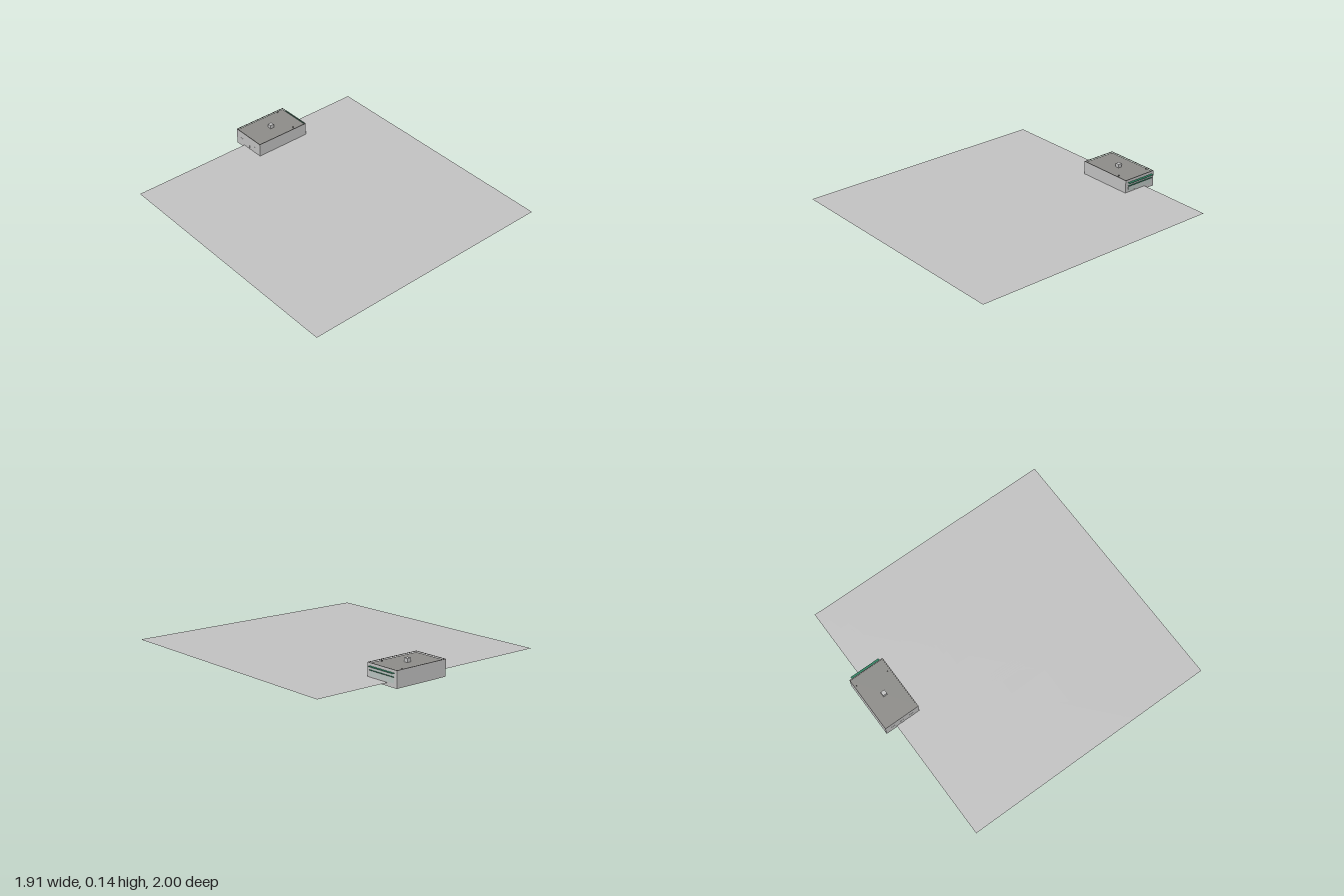
import * as THREE from 'three';

export function createModel() {
  const group = new THREE.Group();
  const material = (name, color, side = THREE.FrontSide) => {
    const m = new THREE.MeshStandardMaterial({ color, side });
    m.name = name;
    return m;
  };
  const paving = material('paving grey', 0xc2c2c2, THREE.DoubleSide);
  const wall = material('wall grey', 0xc2c2c2);
  const roofing = material('roof grey', 0x8d8c89, THREE.DoubleSide);
  const green = material('canopy green', 0x2f8060, THREE.DoubleSide);
  const glass = material('pale glass', 0xb8c4c0);

  const add = (name, geometry, mat) => {
    const mesh = new THREE.Mesh(geometry, mat);
    mesh.name = name;
    group.add(mesh);
    return mesh;
  };
  // Box given by its limits on each axis
  const box = (name, x0, x1, y0, y1, z0, z1, mat) => {
    const g = new THREE.BoxGeometry(x1 - x0, y1 - y0, z1 - z0);
    g.translate((x0 + x1) / 2, (y0 + y1) / 2, (z0 + z1) / 2);
    return add(name, g, mat);
  };

  // Gently sloping site: height falls towards the front of the -x side
  const W = 0.957, BACK = -0.915, FRONT = 1;
  const height = (x, z) => {
    const u = (x + W) / (2 * W), v = (z - BACK) / (FRONT - BACK);
    return THREE.MathUtils.lerp(0.014 - 0.007 * v, 0.026, u);
  };
  const patch = (name, x0, x1, z0, z1, lift = 0) => {
    const g = new THREE.PlaneGeometry(x1 - x0, z1 - z0, 6, 6).rotateX(-Math.PI / 2);
    g.translate((x0 + x1) / 2, 0, (z0 + z1) / 2);
    const p = g.attributes.position;
    for (let i = 0; i < p.count; i++) p.setY(i, height(p.getX(i), p.getZ(i)) + lift);
    g.computeVertexNormals();
    return add(name, g, paving);
  };

  // Building footprint
  const X0 = -0.043, X1 = 0.384, Z0 = -1, Z1 = -0.729, T = 0.005, TOP = 0.118;

  // Ground, left open beneath the building
  patch('groundMain', -W, W, Z1, FRONT);
  patch('groundBackRight', -W, X0, BACK, Z1);
  patch('groundBackLeft', X1, W, BACK, Z1);

  // Roads, parking court, bays and forecourt
  const L = 0.0008;
  patch('crossRoad', -0.21, -0.12, BACK, FRONT, L);
  patch('backRoad', -0.81, W, -0.33, -0.22, L * 1.5);
  patch('frontRoad', -0.79, W, 0.6, 0.68, L * 1.5);
  patch('parkingCourt', 0.19, 0.71, -0.545, 0, L);
  for (const x of [0.29, 0.59])
    for (const z of [-0.43, -0.11]) patch('parkingBay', x - 0.06, x + 0.06, z - 0.055, z + 0.055, L * 2);
  patch('forecourt', X1, 0.62, BACK, -0.7, L);
  patch('edgeStrip', -0.905, -0.89, BACK, FRONT, L);

  // Hollow wall ring, open at the bottom
  const ring = (x0, x1, z0, z1, t) => {
    const rect = (C, i) => {
      const c = new C();
      c.moveTo(x0 + i, -z0 - i);
      c.lineTo(x1 - i, -z0 - i);
      c.lineTo(x1 - i, -z1 + i);
      c.lineTo(x0 + i, -z1 + i);
      c.closePath();
      return c;
    };
    const s = rect(THREE.Shape, 0);
    s.holes.push(rect(THREE.Path, t));
    return s;
  };
  const walls = new THREE.ExtrudeGeometry(ring(X0, X1, Z0, Z1, T), { depth: TOP - 0.003, bevelEnabled: false });
  add('walls', walls.rotateX(-Math.PI / 2), wall);
  const coping = new THREE.ExtrudeGeometry(ring(X0, X1, Z0, Z1, T), { depth: 0.003, bevelEnabled: false });
  add('parapetCoping', coping.rotateX(-Math.PI / 2).translate(0, TOP - 0.003, 0), roofing);

  // Sunken flat roof with its vents
  const roof = new THREE.PlaneGeometry(X1 - X0 - T, Z1 - Z0 - T).rotateX(-Math.PI / 2);
  add('roof', roof.translate((X0 + X1) / 2, 0.109, (Z0 + Z1) / 2), roofing);
  box('roofUnit', 0.152, 0.183, 0.109, 0.136, -0.881, -0.85, wall);
  box('smallVent', 0.283, 0.288, 0.109, 0.121, -0.757, -0.752, roofing);
  box('smallVent', 0.322, 0.327, 0.109, 0.121, -0.985, -0.98, roofing);

  // Glazed entrance side under two thin canopies
  for (const [a, b] of [[-0.975, -0.92], [-0.915, -0.885], [-0.88, -0.815], [-0.81, -0.755]]) {
    box('shopWindow', X1, X1 + 0.001, 0.03, 0.07, a, b, glass);
    box('upperWindow', X1, X1 + 0.001, 0.073, 0.088, a, b, glass);
  }
  for (const [y, out] of [[0.097, 0.405], [0.072, 0.396]]) {
    const g = new THREE.PlaneGeometry(out - X1, 0.23).rotateX(-Math.PI / 2);
    add('canopy', g.translate((X1 + out) / 2, y, -0.865), green);
  }
  box('canopyFascia', X1, X1 + 0.002, 0.092, 0.098, -0.98, -0.75, green);

  // Doors on the opposite end
  for (const z of [-0.94, -0.865, -0.79])
    box('sideDoor', X0 - 0.001, X0, 0.02, 0.065, z - 0.015, z + 0.015, wall);

  return group;
}
